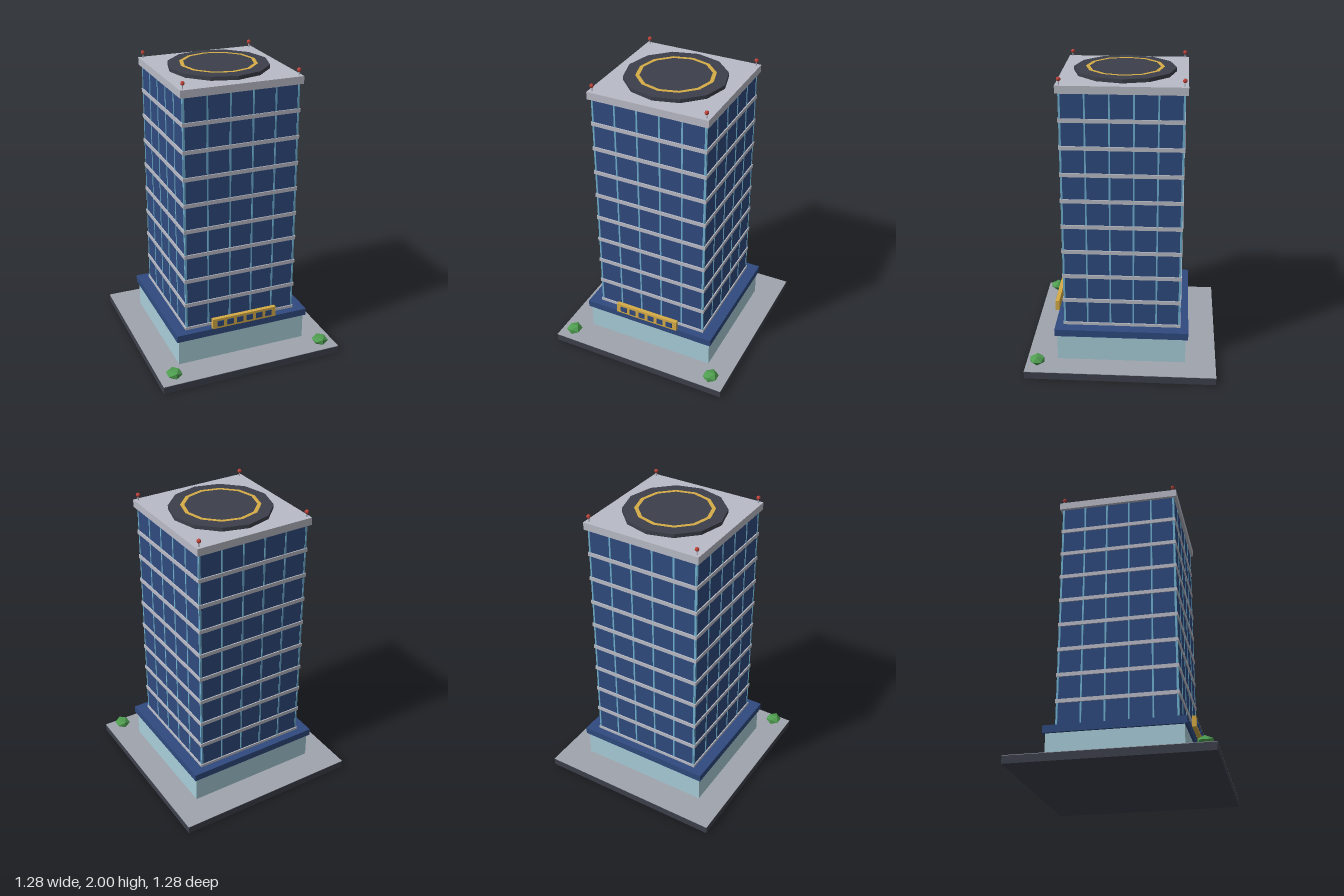
import * as THREE from 'three';

const paint = (color) => new THREE.MeshStandardMaterial({ color, flatShading: true });

export function createModel() {
  const model = new THREE.Group();
  const dark = paint(0x3c404b), paving = paint(0x9fa4ae), navy = paint(0x2f4a7f);
  const paleGlass = paint(0xa8cdd9), trim = paint(0x6fb0d0), concrete = paint(0xb9bbc6);
  const gold = paint(0xd6ac45), red = paint(0xc0443c), green = paint(0x4f9e50);

  const add = (name, geometry, material, x = 0, y = 0, z = 0, parent = model) => {
    const mesh = new THREE.Mesh(geometry, material);
    mesh.name = name;
    mesh.position.set(x, y, z);
    parent.add(mesh);
    return mesh;
  };
  // Box given by its size in x and z and its bottom and top heights
  const block = (name, w, d, y0, y1, material, x = 0, z = 0, parent = model) =>
    add(name, new THREE.BoxGeometry(w, y1 - y0, d), material, x, (y0 + y1) / 2, z, parent);

  // Ground slab with a paved top
  block('groundSlab', 1.28, 1.28, 0, 0.05, dark);
  block('paving', 1.28, 1.28, 0.05, 0.053, paving);

  // Glazed lobby and its canopy
  block('lobbyGlass', 0.92, 0.866, 0.053, 0.235, paleGlass);
  block('canopy', 0.95, 0.9, 0.235, 0.284, navy);

  // Tower core, floor bands and roof slab
  block('tower', 0.78, 0.78, 0.284, 1.9, navy);
  const bands = new THREE.Group();
  bands.name = 'floorBands';
  model.add(bands);
  for (let i = 0; i < 9; i++) {
    const y = 0.29 + i * 0.1794;
    block('floorBand', 0.795, 0.795, y - 0.013, y + 0.013, concrete, 0, 0, bands);
  }
  block('roofSlab', 0.82, 0.82, 1.9, 1.95, concrete);

  // Vertical mullions, one set for each of the four faces
  for (let side = 0; side < 4; side++) {
    const face = new THREE.Group();
    face.name = 'mullions';
    face.rotation.y = side * Math.PI / 2;
    for (let i = 0; i < 6; i++) {
      block('mullion', 0.011, 0.008, 0.284, 1.9, trim, (i - 2.5) * 0.154, 0.389, face);
    }
    model.add(face);
  }

  // Twelve-sided landing pad with a painted ring
  add('landingPad', new THREE.CylinderGeometry(0.333, 0.333, 0.025, 12), dark, 0, 1.9625, 0);
  const ring = add('padRing', new THREE.RingGeometry(0.23, 0.256, 12), gold, 0, 1.979, 0);
  ring.rotation.x = -Math.PI / 2;

  // Roof beacons
  for (const x of [-0.385, 0.385]) {
    for (const z of [-0.385, 0.385]) {
      block('beaconPost', 0.006, 0.006, 1.95, 1.98, concrete, x, z);
      add('beacon', new THREE.SphereGeometry(0.014, 8, 6), red, x, 1.986, z);
    }
  }

  // Entrance sign board with blank panels
  block('signBoard', 0.46, 0.027, 0.297, 0.369, gold, 0, 0.4595);
  for (let i = 0; i < 6; i++) {
    block('signPanel', 0.046, 0.008, 0.313, 0.353, navy, (i - 2.5) * 0.07, 0.474);
  }

  // Shrubs at the front corners
  for (const x of [-0.54, 0.535]) {
    const shrub = add('shrub', new THREE.IcosahedronGeometry(0.056, 0), green, x, 0.087, 0.562);
    shrub.scale.y = 0.65;
  }

  return model;
}
